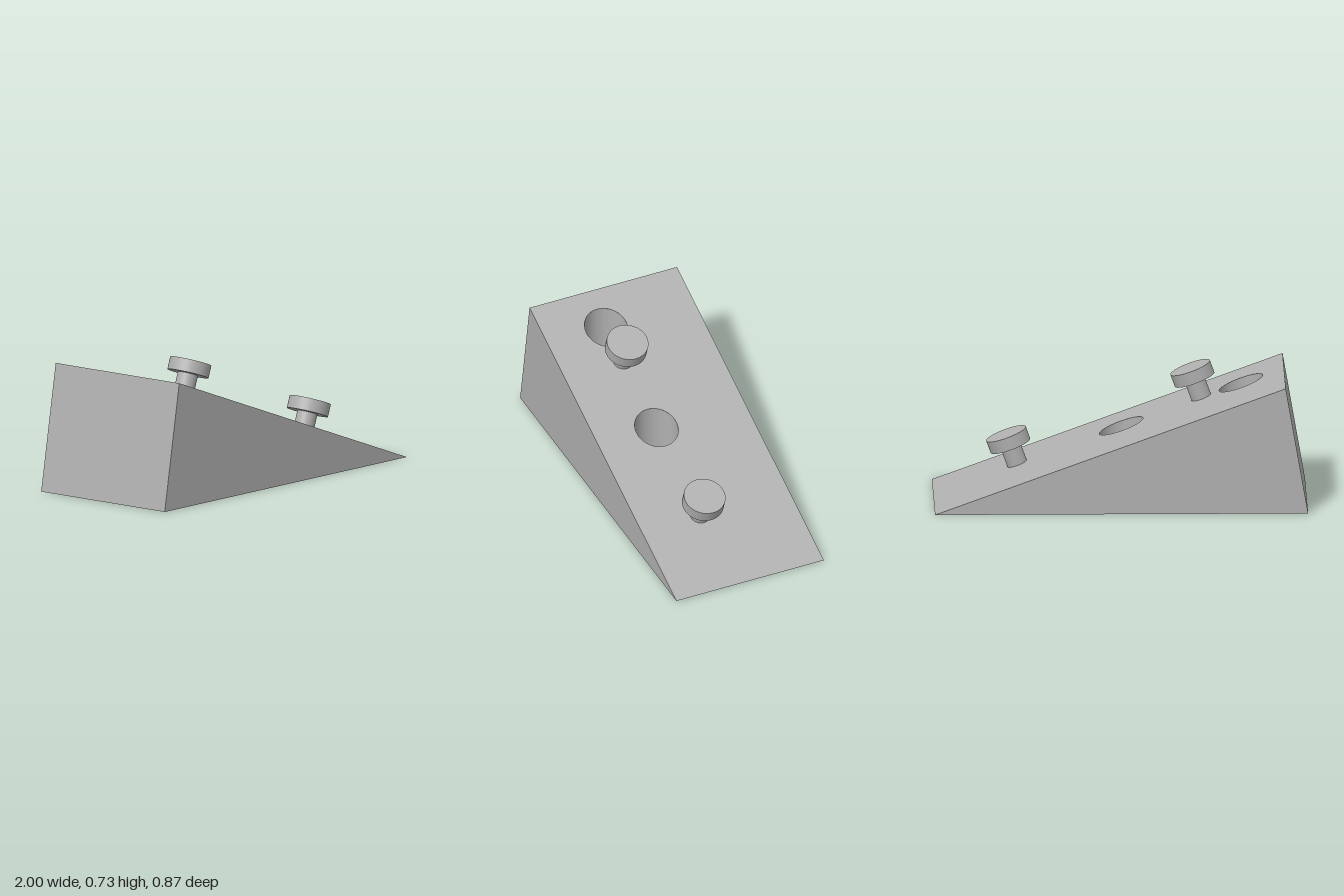
import * as THREE from 'three';

const HALF = 0.435;                       // half width in z
const PEAK = new THREE.Vector2(-0.88, 0.685);
const TILT = Math.atan2(PEAK.y, 1 - PEAK.x);
const ROW_Z = 0.088;                      // line of the bores and pegs
const BORES = [-0.65, -0.008];
const BORE_R = 0.117, HOLE_R = 0.0625, FLOOR = 0.12;
const slope = (x) => (1 - x) * Math.tan(TILT);

export function createModel() {
  const model = new THREE.Group();
  const grey = new THREE.MeshStandardMaterial({ color: 0xb0b0b0, side: THREE.DoubleSide });
  grey.name = 'grey';

  const add = (parent, name, geometry, x = 0, y = 0, z = 0) => {
    const mesh = new THREE.Mesh(geometry, grey);
    mesh.name = name;
    mesh.position.set(x, y, z);
    parent.add(mesh);
    return mesh;
  };

  // Flat rectangle with round openings; sign maps shape y to z
  const plate = (x0, radius, sign) => {
    const shape = new THREE.Shape([
      new THREE.Vector2(x0, -HALF), new THREE.Vector2(1, -HALF),
      new THREE.Vector2(1, HALF), new THREE.Vector2(x0, HALF),
    ]);
    for (const x of BORES) {
      shape.holes.push(new THREE.Path().absarc(x, sign * ROW_Z, radius, 0, Math.PI * 2, true));
    }
    return new THREE.ShapeGeometry(shape, 48).rotateX(sign * Math.PI / 2);
  };

  // Lift chosen vertices onto the sloping plane
  const liftToSlope = (geometry, offsetX, chosen) => {
    const p = geometry.attributes.position;
    for (let i = 0; i < p.count; i++) {
      if (chosen(p.getY(i))) p.setY(i, slope(p.getX(i) + offsetX));
    }
    return geometry;
  };

  // Wedge body
  const wedge = new THREE.Group();
  wedge.name = 'wedge';
  model.add(wedge);
  add(wedge, 'base', plate(-1, HOLE_R, 1));
  const ramp = liftToSlope(plate(PEAK.x, BORE_R, -1), 0, () => true);
  ramp.computeVertexNormals();
  add(wedge, 'ramp', ramp);

  const triangle = (s) => new THREE.ShapeGeometry(new THREE.Shape([
    new THREE.Vector2(-s, 0), new THREE.Vector2(s, 0), new THREE.Vector2(s * PEAK.x, PEAK.y),
  ]));
  add(wedge, 'frontSide', triangle(1), 0, 0, HALF);
  add(wedge, 'backSide', triangle(-1).rotateY(Math.PI), 0, 0, -HALF);

  const lean = 1 + PEAK.x;
  const end = new THREE.PlaneGeometry(HALF * 2, Math.hypot(lean, PEAK.y))
    .rotateY(-Math.PI / 2).rotateZ(-Math.atan2(lean, PEAK.y));
  add(wedge, 'tallEnd', end, -1 + lean / 2, PEAK.y / 2, 0);

  // Vertical counterbored holes
  for (const x of BORES) {
    const bore = new THREE.Group();
    bore.name = 'counterbore';
    wedge.add(bore);
    const wall = new THREE.CylinderGeometry(BORE_R, BORE_R, FLOOR * 2, 48, 1, true);
    wall.translate(0, FLOOR * 2, 0);
    add(bore, 'boreWall', liftToSlope(wall, x, (y) => y > FLOOR * 2), x, 0, ROW_Z);
    add(bore, 'boreFloor', new THREE.RingGeometry(HOLE_R, BORE_R, 48).rotateX(-Math.PI / 2), x, FLOOR, ROW_Z);
    add(bore, 'throughHole', new THREE.CylinderGeometry(HOLE_R, HOLE_R, FLOOR, 48, 1, true), x, FLOOR / 2, ROW_Z);
  }

  // Headed pegs standing square to the ramp
  for (const x of [-0.437, 0.55]) {
    const peg = new THREE.Group();
    peg.name = 'peg';
    peg.position.set(x, slope(x), ROW_Z);
    peg.rotation.z = -TILT;
    model.add(peg);
    add(peg, 'shaft', new THREE.CylinderGeometry(0.055, 0.055, 0.11, 48), 0, 0.05, 0);
    add(peg, 'head', new THREE.CylinderGeometry(0.113, 0.113, 0.07, 48), 0, 0.139, 0);
  }
  return model;
}
